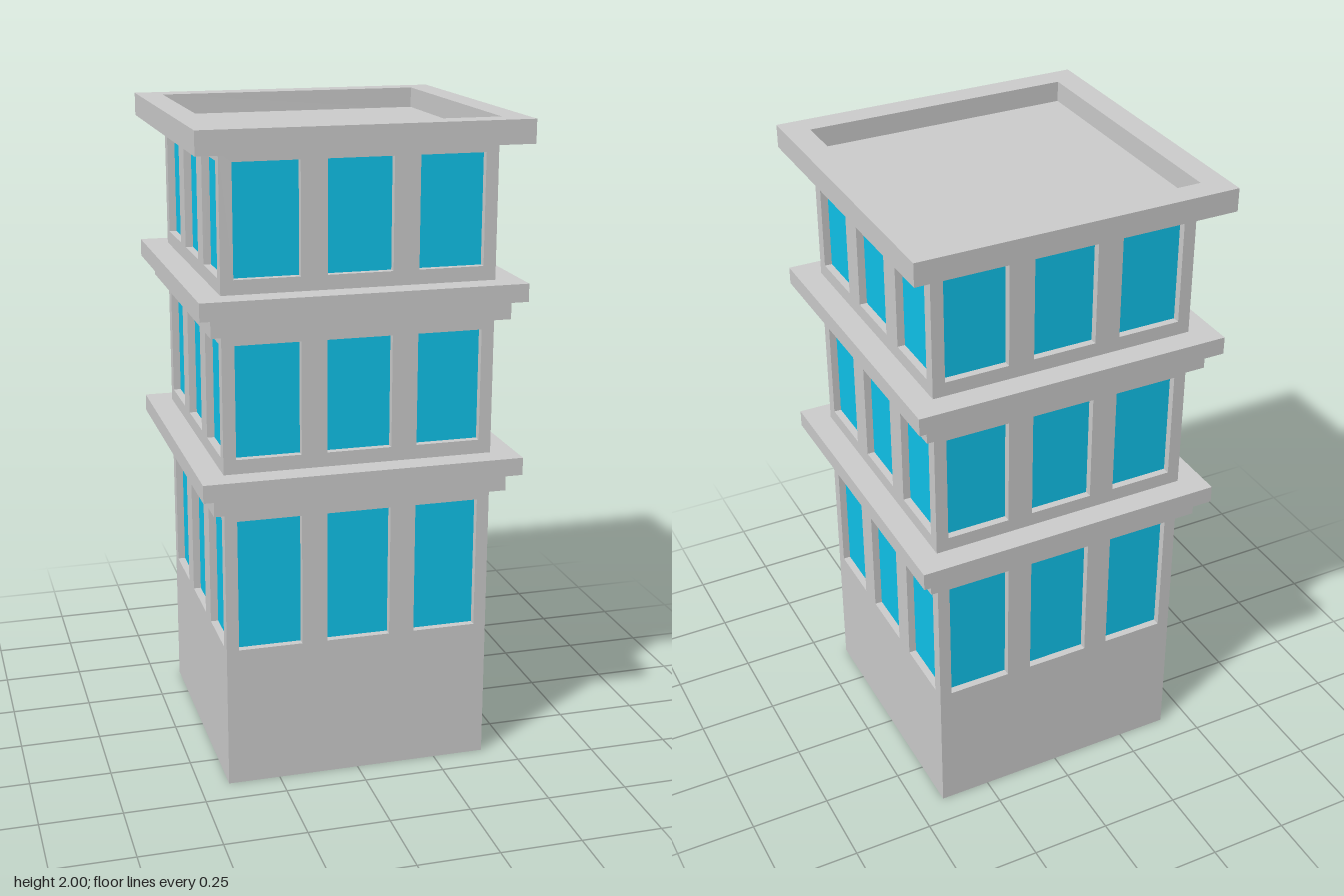
import * as THREE from 'three';

const grey = new THREE.MeshStandardMaterial({ color: 0xcccccc, flatShading: true });
const glass = new THREE.MeshStandardMaterial({ color: 0x0fc3ea, flatShading: true });

const HALF = 0.41;      // half width of the tower
const RECESS = 0.025;   // depth of the window reveals
const WALL_TOP = 1.932;
const WINDOW_W = 0.196;
const COLUMNS = [-0.274, 0, 0.274];
const FLOORS = [[0.44, 0.85], [1.04, 1.38], [1.57, 1.9]]; // window bottom, top

function rect(PathType, x0, y0, x1, y1) {
  const p = new PathType();
  p.moveTo(x0, y0);
  p.lineTo(x1, y0);
  p.lineTo(x1, y1);
  p.lineTo(x0, y1);
  p.closePath();
  return p;
}

function mesh(parent, name, geometry, material = grey) {
  const m = new THREE.Mesh(geometry, material);
  m.name = name;
  parent.add(m);
  return m;
}

// Square slab centred on the tower axis
function slab(parent, name, half, y0, y1) {
  const m = mesh(parent, name, new THREE.BoxGeometry(half * 2, y1 - y0, half * 2));
  m.position.y = (y0 + y1) / 2;
}

// One side of the tower: pierced wall with glass set behind it
function makeFacade(name, halfWidth) {
  const facade = new THREE.Group();
  facade.name = name;
  const wall = rect(THREE.Shape, -halfWidth, 0, halfWidth, WALL_TOP);
  for (const [y0, y1] of FLOORS) {
    for (const x of COLUMNS) {
      wall.holes.push(rect(THREE.Path, x - WINDOW_W / 2, y0, x + WINDOW_W / 2, y1));
      const pane = mesh(facade, 'windowPane', new THREE.PlaneGeometry(WINDOW_W, y1 - y0), glass);
      pane.position.set(x, (y0 + y1) / 2, HALF - RECESS + 0.002);
    }
  }
  const geometry = new THREE.ExtrudeGeometry(wall, { depth: RECESS, bevelEnabled: false });
  mesh(facade, 'wall', geometry).position.z = HALF - RECESS;
  return facade;
}

export function createModel() {
  const model = new THREE.Group();
  model.name = 'tower';

  // Solid core behind the walls
  slab(model, 'core', HALF - RECESS, 0, WALL_TOP);

  // Four facades; the side ones fit between front and back
  ['front', 'left', 'back', 'right'].forEach((side, i) => {
    const facade = makeFacade(side + 'Facade', i % 2 ? HALF - RECESS : HALF);
    facade.rotation.y = i * Math.PI / 2;
    model.add(facade);
  });

  // Stepped ledges between the floors
  for (const y of [0.885, 1.415]) {
    slab(model, 'lowerLedge', 0.448, y, y + 0.058);
    slab(model, 'upperLedge', 0.486, y + 0.058, y + 0.112);
  }

  // Roof deck inside a raised parapet
  slab(model, 'roofDeck', 0.43, 1.931, 1.937);
  const ring = rect(THREE.Shape, -0.49, -0.49, 0.49, 0.49);
  ring.holes.push(rect(THREE.Path, -0.413, -0.413, 0.413, 0.413));
  const parapet = mesh(model, 'parapet',
    new THREE.ExtrudeGeometry(ring, { depth: 0.07, bevelEnabled: false }));
  parapet.rotation.x = -Math.PI / 2;
  parapet.position.y = 1.93;

  return model;
}
